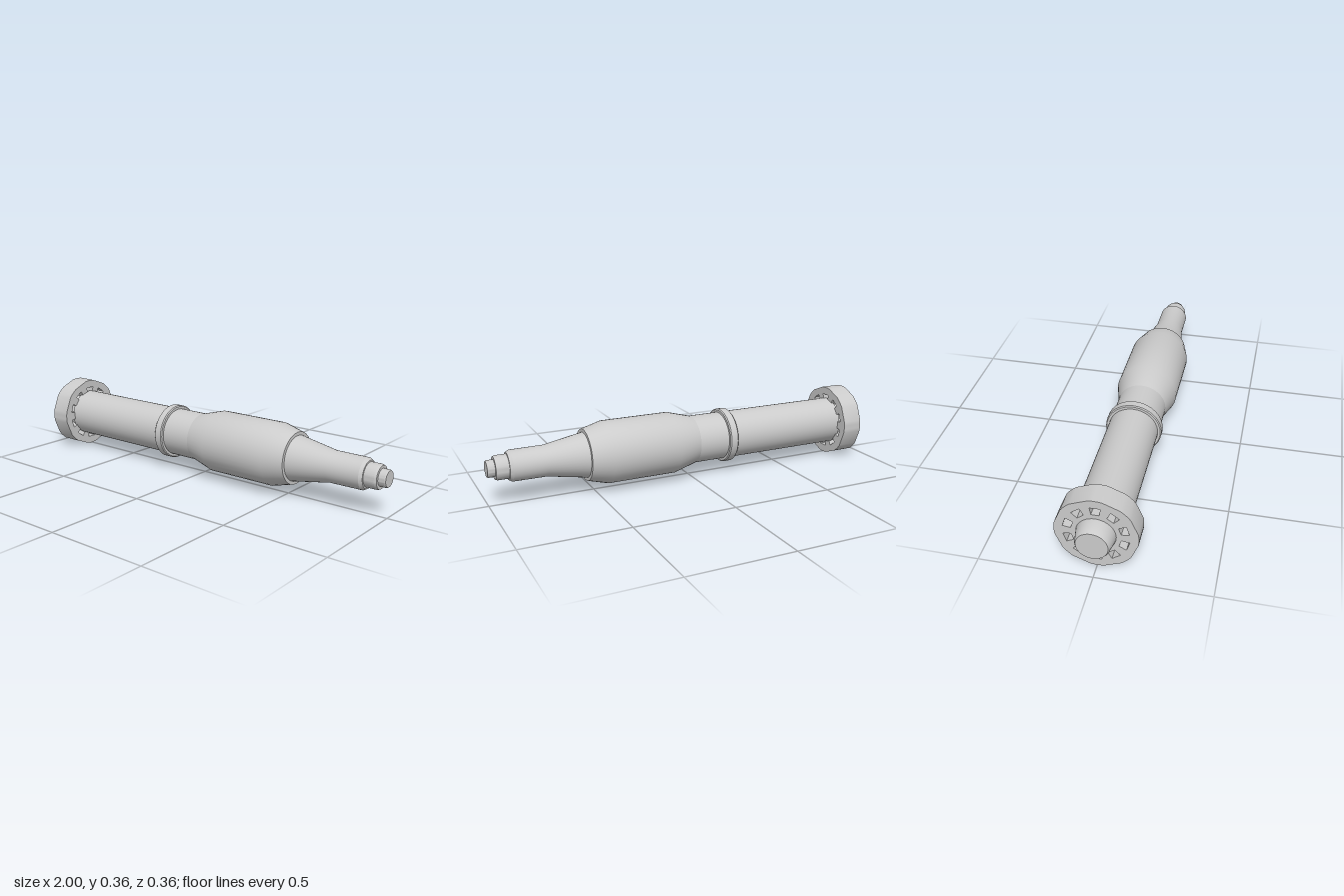
import * as THREE from 'three';
import { toCreasedNormals } from 'three/addons/utils/BufferGeometryUtils.js';

const AXIS_Y = 0.18;

export function createModel() {
  const group = new THREE.Group();
  const material = new THREE.MeshStandardMaterial({ color: 0xcccccc });

  function add(name, geometry) {
    const mesh = new THREE.Mesh(toCreasedNormals(geometry, 0.4), material);
    mesh.name = name;
    mesh.position.y = AXIS_Y;
    group.add(mesh);
  }

  // Turned part along x: profile is a list of [x, radius], closed at both ends
  function turned(name, profile) {
    const ends = [[profile[0][0], 0], ...profile, [profile[profile.length - 1][0], 0]];
    const geometry = new THREE.LatheGeometry(ends.map(([x, r]) => new THREE.Vector2(r, x)), 40);
    add(name, geometry.rotateZ(-Math.PI / 2));
  }

  turned('rearStub', [[-1, 0.068], [-0.99, 0.074], [-0.93, 0.085], [-0.9, 0.085]]);
  turned('tube', [[-0.84, 0.118], [-0.02, 0.118]]);
  turned('collar', [[-0.22, 0.13], [-0.215, 0.135], [-0.18, 0.135], [-0.175, 0.13]]);
  turned('warheadBody', [[-0.02, 0.118], [0.1, 0.151], [0.44, 0.151], [0.54, 0.124]]);
  turned('noseCone', [[0.53, 0.11], [0.54, 0.108], [0.73, 0.074], [0.89, 0.073], [0.905, 0.064]]);
  turned('fuseBase', [[0.9, 0.057], [0.955, 0.057], [0.965, 0.053]]);
  turned('fuseTip', [[0.96, 0.04], [0.995, 0.04], [1, 0.037]]);

  // Rear flange: eight rounded lobes joined by flats
  const polar = (r, a) => new THREE.Vector2(r * Math.cos(a), r * Math.sin(a));
  const outline = [];
  for (let i = 0; i < 8; i++) {
    for (const step of [-1, -0.33, 0.33, 1]) {
      outline.push(polar(0.179, (i * Math.PI) / 4 + step * 0.166));
    }
  }
  const shape = new THREE.Shape(outline);

  // Ring of vents through the flange
  for (let i = 0; i < 10; i++) {
    const a = ((i + 0.5) * Math.PI) / 5;
    shape.holes.push(new THREE.Path([
      polar(0.107, a - 0.16), polar(0.107, a + 0.16),
      polar(0.142, a + 0.16), polar(0.142, a - 0.16),
    ]));
  }
  const flange = new THREE.ExtrudeGeometry(shape, { depth: 0.102, bevelEnabled: false });
  add('ventedFlange', flange.rotateY(Math.PI / 2).translate(-0.93, 0, 0));

  return group;
}
